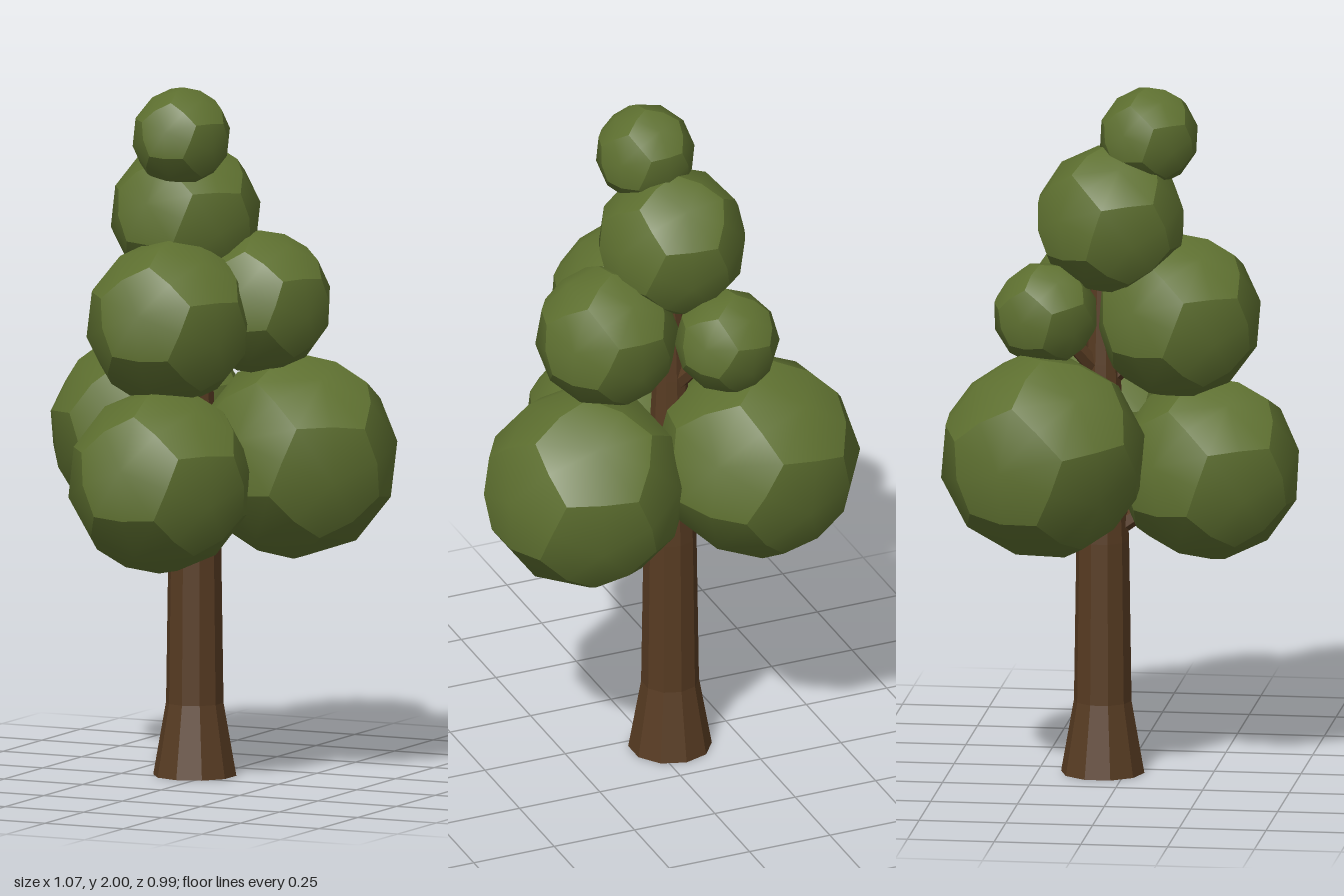
import * as THREE from 'three';

const PHI = (1 + Math.sqrt(5)) / 2;

// Twelve-sided ball: each pentagon is a domed patch, smooth inside and creased at its border
function leafBallGeometry() {
  const corners = [], axes = [];
  const signs = [-1, 1];
  for (const a of signs) for (const b of signs) {
    for (const c of signs) corners.push(new THREE.Vector3(a, b, c));
    const p = a / PHI, q = b * PHI;
    corners.push(new THREE.Vector3(p, 0, q), new THREE.Vector3(q, p, 0), new THREE.Vector3(0, q, p));
    axes.push(new THREE.Vector3(0, a, q), new THREE.Vector3(q, 0, a), new THREE.Vector3(a, q, 0));
  }
  const positions = [], index = [];
  for (const axis of axes) {
    const n = axis.clone().normalize();
    const ring = corners.filter((v) => v.dot(axis) > 2.6);
    const u = ring[0].clone().projectOnPlane(n).normalize();
    const w = n.clone().cross(u);
    const angle = (v) => Math.atan2(v.dot(w), v.dot(u));
    ring.sort((a, b) => angle(a) - angle(b));
    const base = positions.length / 3;
    positions.push(...n.toArray());
    ring.forEach((v, i) => {
      const mid = v.clone().add(ring[(i + 1) % 5]).normalize();
      positions.push(...v.clone().normalize().toArray(), ...mid.toArray());
    });
    for (let i = 0; i < 10; i++) index.push(base, base + 1 + i, base + 1 + ((i + 1) % 10));
  }
  const geometry = new THREE.BufferGeometry();
  geometry.setAttribute('position', new THREE.Float32BufferAttribute(positions, 3));
  geometry.setIndex(index);
  geometry.computeVertexNormals();
  return geometry;
}

export function createModel() {
  const model = new THREE.Group();
  model.name = 'tree';
  const leaf = new THREE.MeshStandardMaterial({ color: 0x5e7030 });
  leaf.name = 'leaf green';
  const bark = new THREE.MeshStandardMaterial({ color: 0x573b22, flatShading: true });
  bark.name = 'bark brown';

  // Trunk: flared foot, then a slow taper up into the crown
  const profile = [[0, 0], [0.12, 0], [0.083, 0.21], [0.076, 0.68], [0.05, 1.2], [0.025, 1.62], [0, 1.62]];
  const trunk = new THREE.Mesh(
    new THREE.LatheGeometry(profile.map(([r, y]) => new THREE.Vector2(r, y)), 10), bark);
  trunk.name = 'trunk';
  trunk.position.set(-0.048, 0, -0.065);
  model.add(trunk);

  // Foliage balls: name, centre, radius, tilt
  const balls = [
    ['lowerBackFoliage', [-0.255, 0.965, -0.21], 0.297, [0.35, 0.25, 0.1]],
    ['lowerSideFoliage', [0.245, 0.93, -0.13], 0.294, [0.3, -0.2, 0.08]],
    ['lowerFrontFoliage', [-0.01, 0.89, 0.235], 0.267, [0.33, 0, 0]],
    ['middleFrontFoliage', [-0.025, 1.335, 0.15], 0.24, [0.36, 0.05, -0.05]],
    ['middleSideFoliage', [0.155, 1.375, -0.08], 0.206, [0.3, 0.15, 0]],
    ['middleBackFoliage', [-0.16, 1.36, -0.215], 0.151, [0.25, 0.2, 0.1]],
    ['upperFoliage', [-0.065, 1.62, -0.04], 0.217, [0.3, -0.1, 0.05]],
    ['topFoliage', [-0.027, 1.859, 0.065], 0.143, [0.33, 0.1, -0.05]],
  ];
  const ballGeometry = leafBallGeometry();
  const up = new THREE.Vector3(0, 1, 0);
  balls.forEach(([name, centre, radius, tilt], i) => {
    const ball = new THREE.Mesh(ballGeometry, leaf);
    ball.name = name;
    ball.position.set(...centre);
    ball.rotation.set(...tilt);
    ball.scale.setScalar(radius);
    model.add(ball);

    // Branch from the trunk into each of the lower and middle balls
    if (i > 5) return;
    const start = new THREE.Vector3(-0.048, centre[1] - 0.2, -0.065);
    const reach = ball.position.clone().sub(start);
    const branch = new THREE.Mesh(
      new THREE.CylinderGeometry(0.018, 0.03, reach.length(), 6), bark);
    branch.name = name.replace('Foliage', 'Branch');
    branch.position.copy(start).addScaledVector(reach, 0.5);
    branch.quaternion.setFromUnitVectors(up, reach.normalize());
    model.add(branch);
  });
  return model;
}
